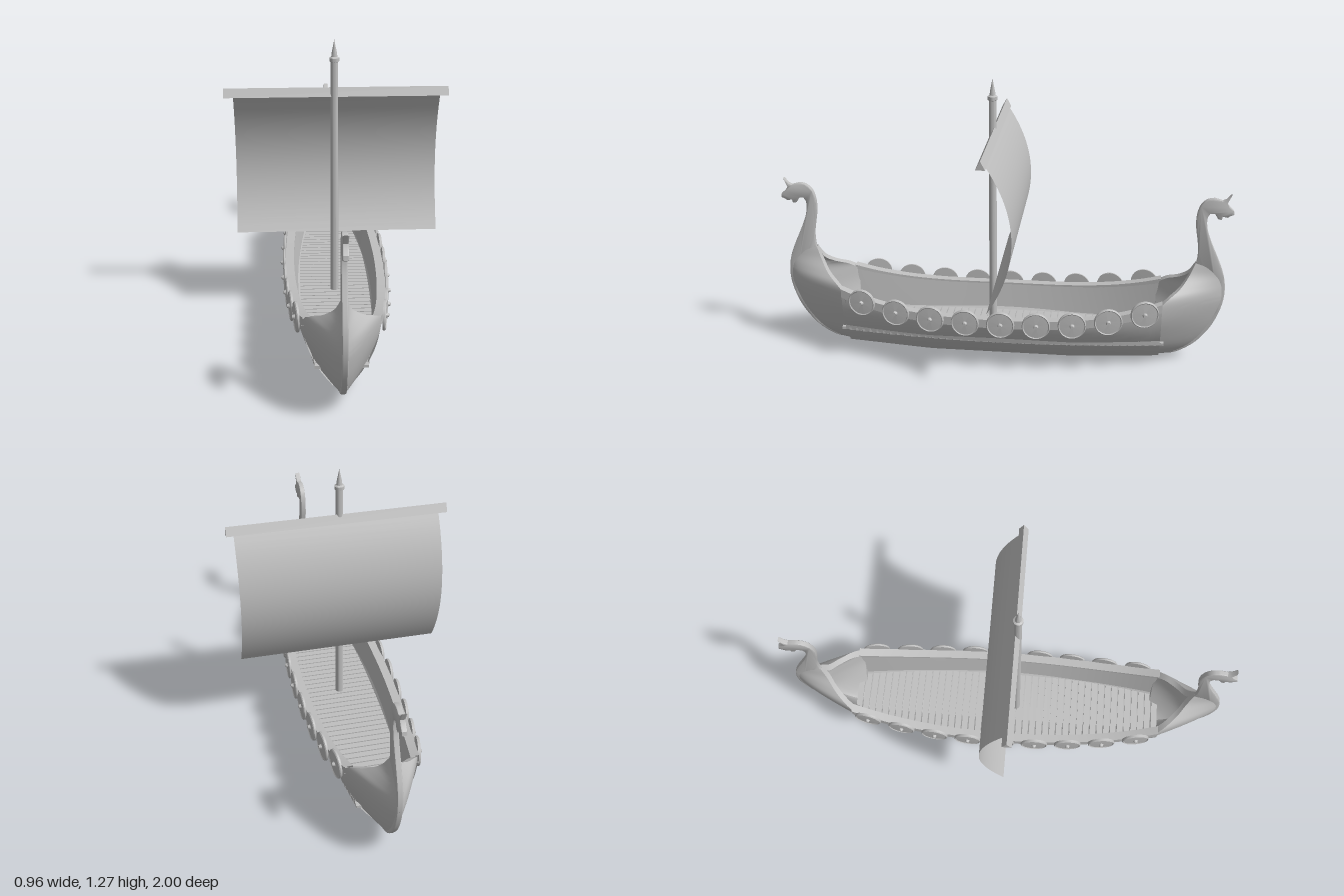
import * as THREE from 'three';
import { toCreasedNormals } from 'three/addons/utils/BufferGeometryUtils.js';

const wood = new THREE.MeshStandardMaterial({ color: 0xbfbfbf, side: THREE.DoubleSide });
wood.name = 'plain grey';

function add(parent, name, geometry, crease = 0.6) {
  const mesh = new THREE.Mesh(toCreasedNormals(geometry, crease), wood);
  mesh.name = name;
  parent.add(mesh);
  return mesh;
}

// Skin over equal-length rows of [x, y, z] points
function loft(rows) {
  const n = rows[0].length, index = [];
  for (let i = 0; i < rows.length - 1; i++) {
    for (let j = 0; j < n - 1; j++) {
      const a = i * n + j, b = a + n;
      index.push(a, b, a + 1, b, b + 1, a + 1);
    }
  }
  const g = new THREE.BufferGeometry();
  g.setAttribute('position', new THREE.Float32BufferAttribute(rows.flat(2), 3));
  g.setIndex(index);
  g.computeVertexNormals();
  return g;
}

// Hull lines as functions of z
const END = 0.71;
const halfWidth = z => 0.215 - 0.06 * (z / 0.7) ** 2;
const gunwaleY = z => 0.25 + 0.08 * Math.abs(z / 0.7) ** 3;
const keelY = z => 0.025 * Math.max(0, (Math.abs(z) - 0.33) / 0.37);
const deckHalf = z => 0.16 - 0.055 * (z / 0.73) ** 2;
const DECK = 0.125;
const stations = Array.from({ length: 33 }, (_, i) => -END + (2 * END * i) / 32);

function buildHull(ship) {
  // Planked sides with a flat bottom
  add(ship, 'hullSides', loft(stations.map(z => {
    const b = 0.035, w = halfWidth(z), k = keelY(z), g = gunwaleY(z);
    const q = 1.6 + 0.6 * (z / 0.7) ** 2, half = [];
    for (let i = 0; i <= 10; i++) {
      const t = i / 10;
      half.push([b + (w - b) * (1 - (1 - t) ** q), k + (g - k) * t, z]);
    }
    return [...half.map(([x, y, c]) => [-x, y, c]).reverse(), ...half];
  })), 0.5);

  for (const s of [1, -1]) {
    add(ship, 'innerWall', loft(stations.map(z => [
      [s * (halfWidth(z) - 0.033), gunwaleY(z), z], [s * deckHalf(z), DECK - 0.01, z],
    ])));
    add(ship, 'gunwaleRail', loft(stations.map(z => {
      const o = s * (halfWidth(z) + 0.004), i = s * (halfWidth(z) - 0.034), g = gunwaleY(z);
      return [[o, g - 0.037, z], [o, g + 0.002, z], [i, g + 0.002, z], [i, g - 0.037, z], [o, g - 0.037, z]];
    })));
  }

  // Cross planks of the deck
  const planks = new THREE.Group();
  planks.name = 'deckPlanks';
  ship.add(planks);
  for (let i = 0; i < 45; i++) {
    const z = -0.713 + i * 0.0324;
    add(planks, 'plank', new THREE.BoxGeometry(2 * deckHalf(z), 0.012, 0.027).translate(0, DECK - 0.006, z));
  }
}

// Rows of [y, half width at back edge, z of back edge, z of stem]
const endRows = [
  [0.025, 0, 0.69, 0.76], [0.03, 0.03, 0.69, 0.775], [0.083, 0.08, 0.69, 0.86],
  [0.17, 0.122, 0.69, 0.928], [0.25, 0.15, 0.69, 0.965], [0.31, 0.156, 0.695, 0.983],
  [0.345, 0.136, 0.73, 0.983], [0.38, 0.085, 0.785, 0.98], [0.425, 0.035, 0.825, 0.968],
  [0.475, 0.012, 0.85, 0.95],
];

// Side outline of stem, neck and head as [z, y]
const stemOuter = [
  [0.74, 0.026], [0.785, 0.035], [0.86, 0.08], [0.91, 0.135], [0.945, 0.19], [0.975, 0.27],
  [0.985, 0.34], [0.978, 0.41], [0.957, 0.473], [0.91, 0.58], [0.89, 0.64], [0.888, 0.69], [0.898, 0.708],
];
const head = [
  [0.918, 0.708], [0.932, 0.685], [0.948, 0.682], [0.952, 0.697], [0.972, 0.693], [0.985, 0.702],
  [1, 0.708], [0.997, 0.725], [0.978, 0.742], [0.968, 0.758], [0.985, 0.798], [0.962, 0.774], [0.948, 0.768],
];
const neckInner = [
  [0.915, 0.778], [0.885, 0.772], [0.858, 0.748], [0.843, 0.705], [0.841, 0.65], [0.85, 0.59],
  [0.857, 0.54], [0.854, 0.48], [0.838, 0.43], [0.87, 0.4], [0.94, 0.36], [0.945, 0.28],
  [0.915, 0.2], [0.85, 0.11], [0.74, 0.045],
];

function buildEnd() {
  const end = new THREE.Group();
  const curve = f => new THREE.CatmullRomCurve3(endRows.map(r => new THREE.Vector3(...f(r))));
  const shell = (back, stem, s, power) => {
    const rows = [];
    for (let i = 0; i <= 36; i++) {
      const a = stem.getPoint(i / 36), b = back.getPoint(i / 36), row = [];
      for (let j = 0; j <= 10; j++) {
        const u = j / 10;
        row.push([s * (a.x + (Math.max(0, b.x) - a.x) * u ** power),
          a.y + (b.y - a.y) * u, a.z + (b.z - a.z) * u]);
      }
      rows.push(row);
    }
    return rows;
  };
  const back = curve(([y, h, zb]) => [h, y, zb]);
  const stem = curve(([y, , , zs]) => [0.003, y, zs]);
  const inBack = curve(([y, h, zb]) => [Math.max(h - 0.032, 0), y, zb]);
  const inStem = curve(([y, , zb, zs]) => [0, y, Math.max(zb, Math.min(zs - 0.08, 0.86))]);
  for (const s of [1, -1]) {
    const outer = shell(back, stem, s, 0.85), inner = shell(inBack, inStem, s, 0.8);
    add(end, 'endShell', loft(outer), 0.8);
    add(end, 'endLining', loft(inner), 0.8);
    add(end, 'endRim', loft(outer.map((row, i) => [row[10], inner[i][10]])));
  }

  // Stem post rising to a carved beast head
  const spline = pts => new THREE.CatmullRomCurve3(pts.map(p => new THREE.Vector3(...p, 0)))
    .getPoints(pts.length * 3).map(p => new THREE.Vector2(p.x, p.y));
  const outline = [...spline(stemOuter), ...head.map(p => new THREE.Vector2(...p)), ...spline(neckInner)];
  const post = new THREE.ExtrudeGeometry(new THREE.Shape(outline), {
    depth: 0.012, bevelEnabled: true, bevelThickness: 0.006, bevelSize: 0.004, bevelOffset: -0.004, bevelSegments: 2,
  });
  add(end, 'stemPost', post.translate(0, 0, -0.006).rotateY(-Math.PI / 2));
  return end;
}

function buildShields(ship) {
  const profile = [[0, 0.02], [0.007, 0.018], [0.011, 0.007], [0.054, 0.005], [0.058, 0.008],
    [0.062, 0.004], [0.062, -0.004], [0, -0.005]].map(p => new THREE.Vector2(...p));
  const geometry = new THREE.LatheGeometry(profile, 28).rotateZ(-Math.PI / 2);
  for (let i = -4; i <= 4; i++) {
    const z = i * 0.156 - 0.012, yaw = Math.atan(0.245 * z);
    for (const s of [1, -1]) {
      const shield = add(ship, 'shield', geometry);
      shield.position.set(s * (halfWidth(z) + 0.007), gunwaleY(z) - 0.018, z);
      shield.rotation.y = s > 0 ? -yaw : Math.PI + yaw;
    }
  }
}

function buildRig(ship) {
  // Mast with collar and pointed cap
  const mast = [[0.018, 0.11], [0.016, 1.18], [0.021, 1.183], [0.021, 1.198], [0.013, 1.203],
    [0.011, 1.22], [0, 1.275]].map(p => new THREE.Vector2(...p));
  add(ship, 'mast', new THREE.LatheGeometry(mast, 20).translate(0, 0, 0.045));

  // Three-sided yard
  const section = new THREE.Shape([[0.015, 1.03], [0.055, 1.03], [0.035, 1.067]].map(p => new THREE.Vector2(...p)));
  const yard = new THREE.ExtrudeGeometry(section, { depth: 0.957, bevelEnabled: false });
  add(ship, 'yard', yard.translate(0, 0, -0.4785).rotateY(-Math.PI / 2).translate(0.009, 0, 0));

  // Square sail bellied towards the back
  const sail = new THREE.PlaneGeometry(0.887, 0.635, 1, 24).translate(0.013, 0.715, 0);
  const p = sail.attributes.position;
  for (let i = 0; i < p.count; i++) {
    const t = (p.getY(i) - 0.3975) / 0.635;
    p.setZ(i, 0.018 - 0.103 * 4 * t * (1 - t));
  }
  sail.computeVertexNormals();
  add(ship, 'sail', sail);
}

export function createModel() {
  const ship = new THREE.Group();
  ship.name = 'longship';
  ship.position.x = -0.01;
  buildHull(ship);
  const bow = buildEnd(), stern = buildEnd();
  bow.name = 'bow';
  stern.name = 'stern';
  stern.rotation.y = Math.PI;
  ship.add(bow, stern);
  buildShields(ship);
  buildRig(ship);
  const model = new THREE.Group();
  model.add(ship);
  return model;
}
